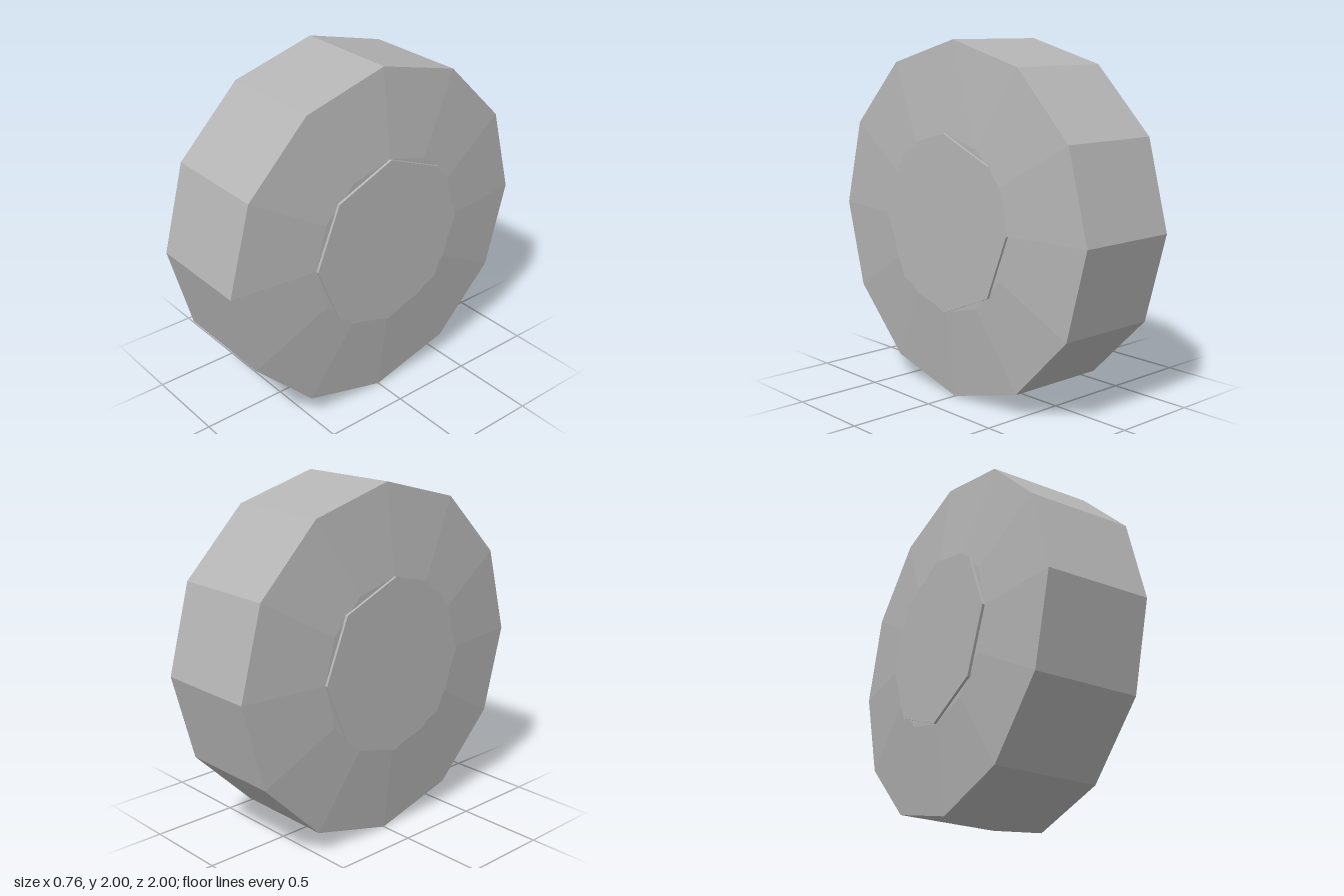
import * as THREE from 'three';

export function createModel() {
  const group = new THREE.Group();
  group.name = 'wheel';
  const grey = new THREE.MeshStandardMaterial({ color: 0xb4b4b4, flatShading: true });
  grey.name = 'grey';

  // Twelve-sided tyre: flat tread, sides bulging gently towards the hub
  const profile = [[0, -0.365], [0.5, -0.365], [1, -0.305], [1, 0.305], [0.5, 0.365], [0, 0.365]]
    .map(([r, y]) => new THREE.Vector2(r, y));
  const tyre = new THREE.Mesh(new THREE.LatheGeometry(profile, 12), grey);
  tyre.name = 'tyre';
  tyre.rotation.z = Math.PI / 2;
  tyre.position.y = 1;
  group.add(tyre);

  // Octagonal hub caps, one on each side
  for (const side of [1, -1]) {
    const hub = new THREE.Mesh(new THREE.CylinderGeometry(0.5, 0.5, 0.04, 8), grey);
    hub.name = side > 0 ? 'leftHubCap' : 'rightHubCap';
    hub.rotation.z = Math.PI / 2;
    hub.position.set(side * 0.36, 1, 0);
    group.add(hub);
  }
  return group;
}
